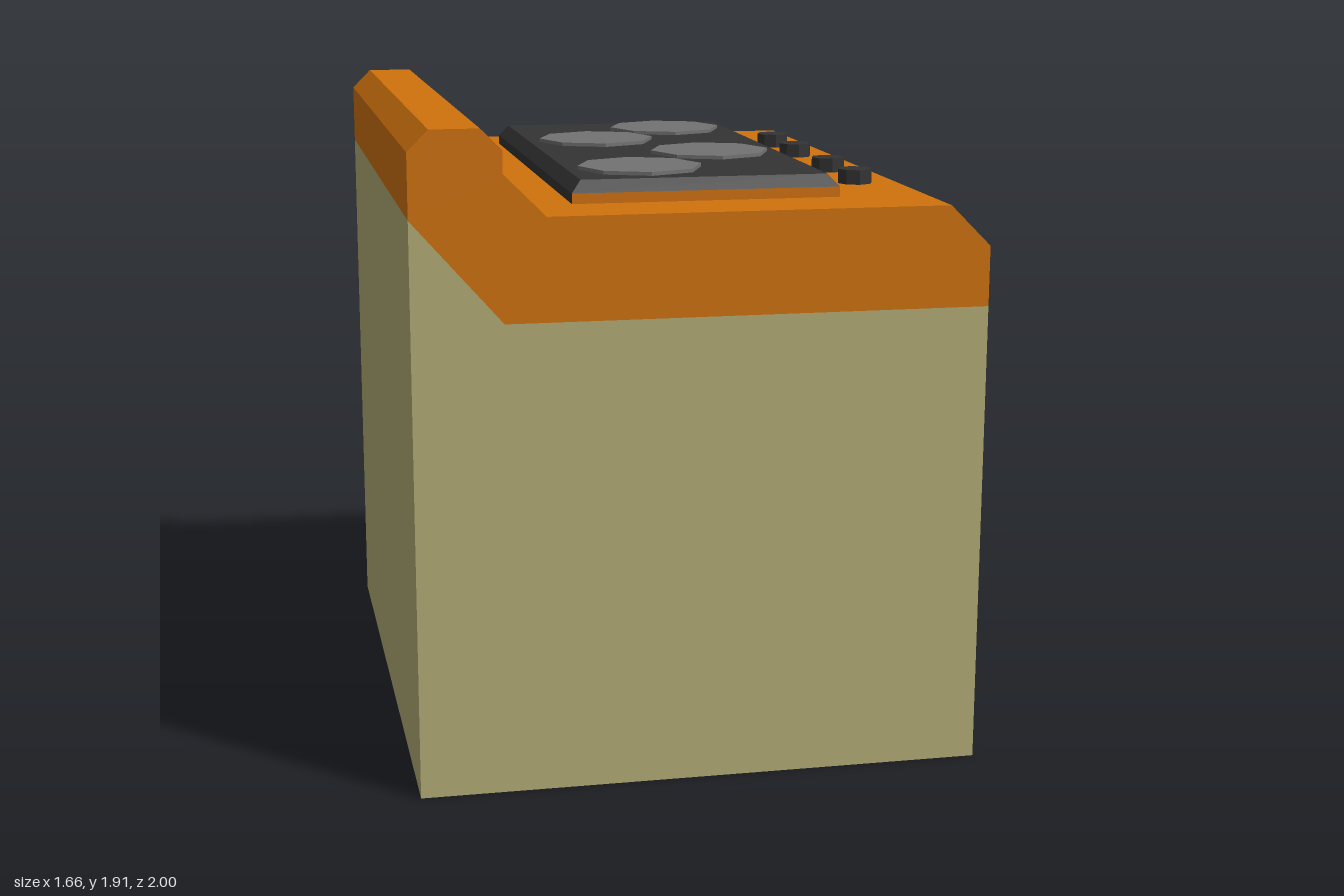
import * as THREE from 'three';

const paint = (color) => new THREE.MeshStandardMaterial({ color, flatShading: true });

export function createModel() {
  const group = new THREE.Group();
  const cream = paint(0xb5ad77);
  const orange = paint(0xd0720d);
  const dark = paint(0x343434);
  const grey = paint(0x727272);

  const add = (name, geometry, material, x = 0, y = 0, z = 0) => {
    const mesh = new THREE.Mesh(geometry, material);
    mesh.name = name;
    mesh.position.set(x, y, z);
    group.add(mesh);
  };

  // Side profile in x/y, extruded over the full depth
  const slab = (points) => {
    const shape = new THREE.Shape(points.map(([x, y]) => new THREE.Vector2(x, y)));
    return new THREE.ExtrudeGeometry(shape, { depth: 2, bevelEnabled: false }).translate(0, 0, -1);
  };

  // Cabinet body with its sloped rear shoulder
  add('cabinet', slab([
    [-0.83, 0], [0.83, 0], [0.83, 1.375], [-0.57, 1.375], [-0.83, 1.67],
  ]), cream);

  // Worktop with bevelled edge and raised splashback
  add('worktop', slab([
    [-0.83, 1.67], [-0.57, 1.375], [0.83, 1.375], [0.83, 1.55], [0.71, 1.67], [-0.45, 1.67],
    [-0.57, 1.79], [-0.57, 1.855], [-0.63, 1.915], [-0.77, 1.915], [-0.83, 1.855],
  ]), orange);

  // Hob plinth: dark along its long sides, worktop colour at both ends
  const width = 0.79, length = 1.54, hobX = 0.053;
  add('hobPlinth', new THREE.BoxGeometry(width, 0.03, length),
    [dark, dark, dark, dark, orange, orange], hobX, 1.685, 0);

  // Hob plate: a box whose top is drawn in to form a bevel
  const plate = new THREE.BoxGeometry(width, 0.035, length);
  const pos = plate.attributes.position;
  for (let i = 0; i < pos.count; i++) {
    if (pos.getY(i) > 0) {
      pos.setX(i, pos.getX(i) - Math.sign(pos.getX(i)) * 0.03);
      pos.setZ(i, pos.getZ(i) - Math.sign(pos.getZ(i)) * 0.03);
    }
  }
  plate.computeVertexNormals();
  add('hobPlate', plate, dark, hobX, 1.7175, 0);

  // Burners
  const burner = new THREE.CylinderGeometry(0.187, 0.187, 0.02, 8);
  [[0.197, -0.523], [-0.094, -0.23], [0.197, 0.167], [-0.094, 0.508]].forEach(([x, z], i) =>
    add(`burner${i + 1}`, burner, grey, x, 1.736, z));

  // Control knobs
  const knob = new THREE.CylinderGeometry(0.053, 0.053, 0.045, 8);
  [-0.517, -0.22, 0.18, 0.477].forEach((z, i) =>
    add(`knob${i + 1}`, knob, dark, 0.581, 1.6915, z));

  return group;
}
